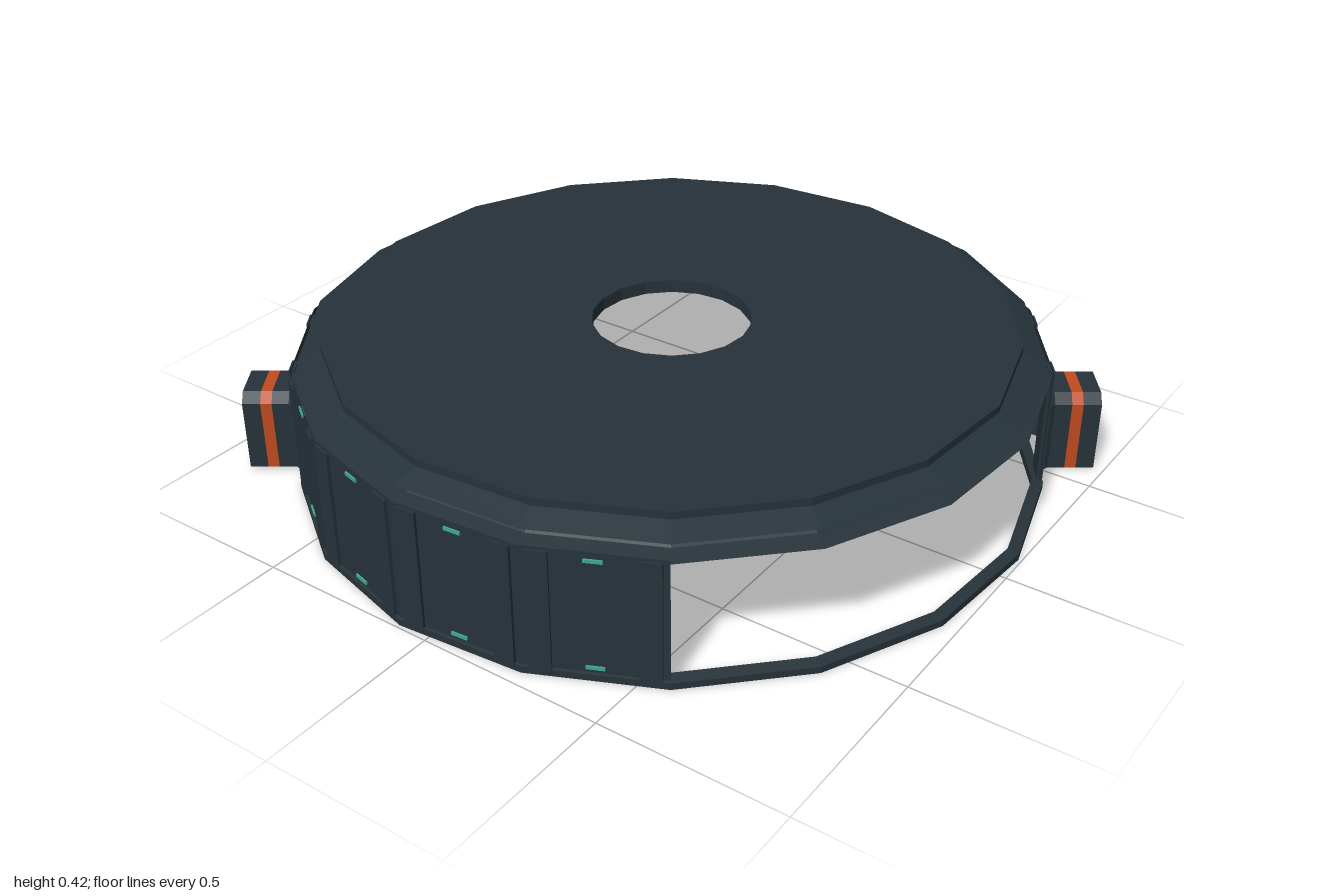
import * as THREE from 'three';

const SIDES = 18, STEP = (Math.PI * 2) / SIDES, START = THREE.MathUtils.degToRad(15);
const R = 0.988, APOTHEM = R * Math.cos(STEP / 2), HALF = R * Math.sin(STEP / 2);
const GAP = [2, 3, 4, 5];        // wall facets left out
const LUG_FACETS = [6, 15];      // facets that carry a side lug

function material(name, color) {
  const m = new THREE.MeshStandardMaterial({ color, flatShading: true, side: THREE.DoubleSide });
  m.name = name;
  return m;
}

function add(parent, name, geometry, mat, x = 0, y = 0, z = 0) {
  const mesh = new THREE.Mesh(geometry, mat);
  mesh.name = name;
  mesh.position.set(x, y, z);
  parent.add(mesh);
  return mesh;
}

function ring(profile) {
  return new THREE.LatheGeometry(profile.map(([r, y]) => new THREE.Vector2(r, y)), SIDES, START);
}

// Chamfered arch cross-section, from the +x foot over the top to the -x foot
function arch(hw, h) {
  const c = 0.025;
  return [[hw, 0.005], [hw, h - c], [hw - c, h], [c - hw, h], [-hw, h - c], [-hw, 0.005]];
}

// Open shell joining arches at the given [z, halfWidth, height] stations
function shell(stations) {
  const pos = [], index = [], n = 6;
  for (const [z, hw, h] of stations) for (const [x, y] of arch(hw, h)) pos.push(x, y, z);
  for (let s = 0; s < stations.length - 1; s++) {
    for (let i = 0; i < n - 1; i++) {
      const a = s * n + i, b = a + 1, c = b + n, d = a + n;
      index.push(a, b, c, a, c, d);
    }
  }
  const g = new THREE.BufferGeometry();
  g.setAttribute('position', new THREE.Float32BufferAttribute(pos, 3));
  g.setIndex(index);
  g.computeVertexNormals();
  return g;
}

// Flat wall facet, with an optional doorway behind a lug
function facetShape(open) {
  const s = new THREE.Shape();
  s.moveTo(-HALF, 0.01);
  if (open) {
    s.lineTo(-0.085, 0.01);
    s.lineTo(-0.085, 0.21);
    s.lineTo(0.085, 0.21);
    s.lineTo(0.085, 0.01);
  }
  s.lineTo(HALF, 0.01);
  s.lineTo(HALF, 0.35);
  s.lineTo(-HALF, 0.35);
  s.closePath();
  return new THREE.ShapeGeometry(s);
}

export function createModel() {
  const model = new THREE.Group();
  model.name = 'ringHousing';
  const slate = material('darkSlate', 0x26323a);
  const orange = material('orangeBand', 0xc24a1e);
  const teal = material('tealLight', 0x3fa690);

  // Roof disc with stepped brim and central hole
  add(model, 'roof', ring([
    [0.21, 0.385], [0.9, 0.385], [0.93, 0.338], [0.985, 0.338], [0.94, 0.35], [0.93, 0.365],
    [0.967, 0.378], [0.905, 0.4], [0.905, 0.42], [0.21, 0.42], [0.21, 0.385],
  ]), slate);

  // Bottom rim, running all the way round
  add(model, 'bottomRim', ring([
    [0.965, 0], [0.995, 0], [0.995, 0.018], [0.965, 0.025], [0.965, 0],
  ]), slate);

  // Wall facets with pilasters and lights
  const plain = facetShape(false), doorway = facetShape(true);
  const pilaster = new THREE.BoxGeometry(0.055, 0.335, 0.016);
  const light = new THREE.BoxGeometry(0.045, 0.009, 0.009);
  for (let k = 0; k < SIDES; k++) {
    if (GAP.includes(k - 0)) continue;
    const hasLug = LUG_FACETS.includes(k);
    const facet = new THREE.Group();
    facet.name = 'wallFacet';
    facet.rotation.y = START + (k - 0.5) * STEP;
    model.add(facet);
    add(facet, 'wallPanel', hasLug ? doorway : plain, slate, 0, 0, APOTHEM);
    for (const side of [-1, 1]) {
      add(facet, 'pilaster', pilaster, slate, side * 0.128, 0.175, APOTHEM);
    }
    if (!hasLug) {
      add(facet, 'lowerLight', light, teal, 0, 0.034, APOTHEM);
      add(facet, 'upperLight', light, teal, 0, 0.328, APOTHEM);
      continue;
    }
    // Side lug: flared neck, hollow body, painted band and end plate
    const lug = new THREE.Group();
    lug.name = 'sideLug';
    facet.add(lug);
    add(lug, 'lugNeck', shell([[APOTHEM, 0.11, 0.235], [1.01, 0.08, 0.225], [1.055, 0.08, 0.225]]), slate);
    add(lug, 'lugBand', shell([[1.055, 0.08, 0.225], [1.085, 0.08, 0.225]]), orange);
    add(lug, 'lugTip', shell([[1.085, 0.08, 0.225], [1.133, 0.08, 0.225]]), slate);
    const end = new THREE.Shape(arch(0.08, 0.225).map(([x, y]) => new THREE.Vector2(x, y)));
    add(lug, 'lugEndPlate', new THREE.ShapeGeometry(end), slate, 0, 0, 1.133);
  }
  return model;
}
